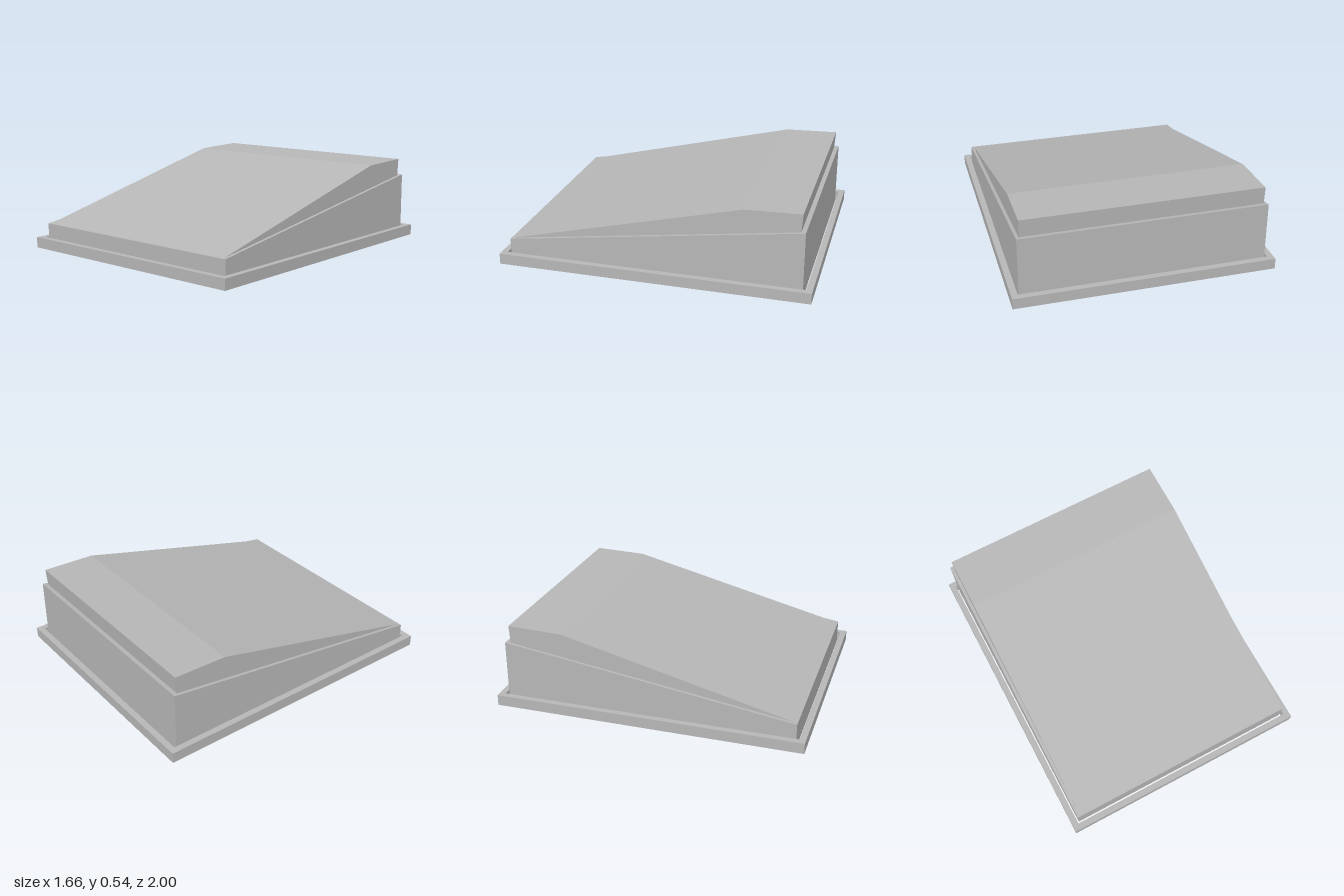
import * as THREE from 'three';

const grey = new THREE.MeshStandardMaterial({ color: 0xb6b6b6 });
grey.name = 'plain grey';

// Extrude a side profile of [z, y] points across the width, centred on x = 0
function sideProfile(name, points, width) {
  const shape = new THREE.Shape(points.map(([z, y]) => new THREE.Vector2(-z, y)));
  const geometry = new THREE.ExtrudeGeometry(shape, { depth: width, bevelEnabled: false });
  geometry.translate(0, 0, -width / 2);
  geometry.rotateY(Math.PI / 2);
  const mesh = new THREE.Mesh(geometry, grey);
  mesh.name = name;
  return mesh;
}

function rectangle(target, halfX, halfZ) {
  target.moveTo(-halfX, -halfZ);
  target.lineTo(halfX, -halfZ);
  target.lineTo(halfX, halfZ);
  target.lineTo(-halfX, halfZ);
  target.closePath();
  return target;
}

export function createModel() {
  const model = new THREE.Group();
  model.name = 'wedgeBox';

  // Low rectangular frame around the body, with a narrow open gap
  const outline = rectangle(new THREE.Shape(), 0.83, 1);
  outline.holes.push(rectangle(new THREE.Path(), 0.79, 0.96));
  const frameGeometry = new THREE.ExtrudeGeometry(outline, { depth: 0.07, bevelEnabled: false });
  frameGeometry.rotateX(-Math.PI / 2);
  const frame = new THREE.Mesh(frameGeometry, grey);
  frame.name = 'baseFrame';
  model.add(frame);

  // Sloping body
  model.add(sideProfile('body', [[0.94, 0], [-0.94, 0], [-0.94, 0.43], [0.94, 0.16]], 1.56));

  // Steeper lid with a nearly flat back shelf
  model.add(sideProfile('lid',
    [[0.93, 0.161], [-0.91, 0.425], [-0.918, 0.54], [-0.565, 0.53]], 1.52));

  return model;
}
